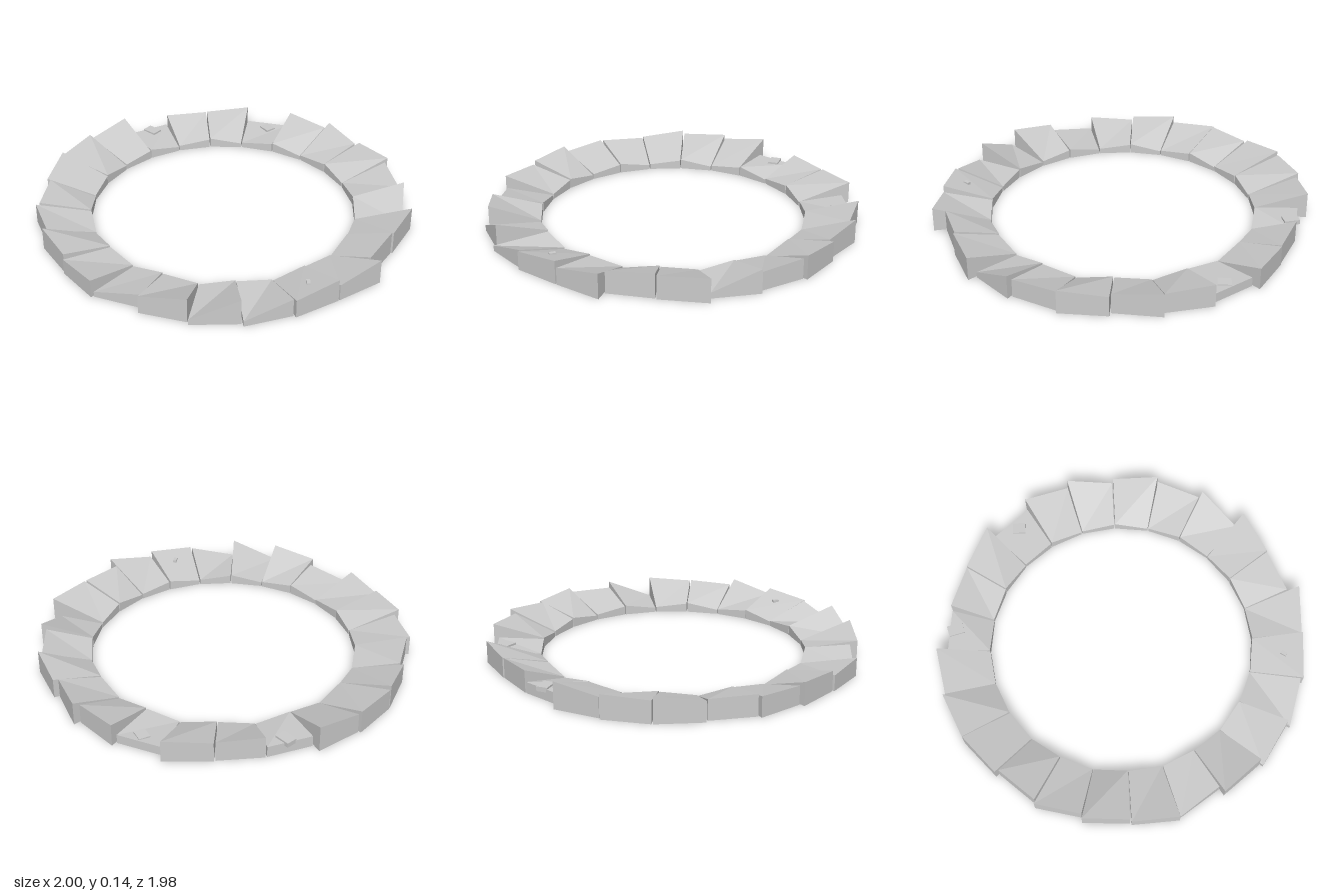
import * as THREE from 'three';

const STEP = Math.PI / 12; // 24 stones
const GAP = 0.004;

// outer radius, then outer height, at the start and end of each stone
const STONES = [
  [0.99, 1.005, 0.125, 0.1], [0.99, 1.015, 0.1, 0.03], [0.995, 1.01, 0.14, 0.03], [0.99, 0.99, 0.135, 0.1],
  [0.95, 0.998, 0.08, 0.03], [1.01, 0.988, 0.1, 0.085], [0.98, 0.997, 0.11, 0.125], [0.97, 1.005, 0.1, 0.11],
  [0.985, 0.965, 0.115, 0.11], [0.985, 1, 0.11, 0.14], [1, 1.003, 0.12, 0.13], [0.99, 1, 0.11, 0.145],
  [0.95, 0.955, 0.06, 0.06], [0.957, 0.963, 0.12, 0.11], [0.968, 1.015, 0.11, 0.12], [0.97, 0.98, 0.05, 0.05],
  [1.01, 0.98, 0.125, 0.11], [1.015, 0.963, 0.13, 0.11], [0.99, 1.013, 0.11, 0.13], [0.993, 0.983, 0.11, 0.1],
  [1.01, 0.98, 0.13, 0.03], [1.027, 0.973, 0.13, 0.125], [0.965, 0.963, 0.13, 0.12], [1.03, 0.99, 0.135, 0.09],
];

// Irregular wedge: corners run inner start, outer start, outer end, inner end
function wedge(a, b, [r0, r1, h0, h1], inner, i0, i1) {
  const spots = [[a, inner, i0], [a, r0, h0], [b, r1, h1], [b, inner, i1]];
  const pos = [];
  for (const top of [0, 1])
    for (const [t, r, h] of spots) pos.push(Math.cos(t) * r, top * h, Math.sin(t) * r);
  const quads = [[0, 1, 2, 3], [4, 7, 6, 5], [1, 5, 6, 2], [0, 3, 7, 4], [0, 4, 5, 1], [3, 2, 6, 7]];
  const geo = new THREE.BufferGeometry();
  geo.setAttribute('position', new THREE.Float32BufferAttribute(pos, 3));
  geo.setIndex(quads.flatMap(([p, q, r, s]) => [p, q, r, p, r, s]));
  const flat = geo.toNonIndexed();
  flat.computeVertexNormals();
  return flat;
}

export function createModel() {
  const group = new THREE.Group();
  const mat = new THREE.MeshStandardMaterial({ color: 0xcccccc, flatShading: true });

  // Ring of stones, sloping down toward the middle
  STONES.forEach((s, i) => {
    const tilt = i % 2 ? [0.03, 0.05] : [0.055, 0.025];
    const geo = wedge(i * STEP + GAP, (i + 1) * STEP - GAP, s, 0.72 + 0.01 * Math.sin(-i * STEP), ...tilt);
    const stone = new THREE.Mesh(geo, mat);
    stone.name = 'stone' + (i + 1);
    group.add(stone);
  });

  // Small chips showing through the lower stones
  const chips = [[-0.545, -0.735, 0.07, 0.06, 0, 0.045], [-0.905, -0.13, 0.085, 0.06, 0.26, 0.06], [0.88, 0.11, 0.035, 0.02, -0.6, 0.09]];
  chips.forEach(([x, z, w, d, turn, y], i) => {
    const chip = new THREE.Mesh(new THREE.BoxGeometry(w, 0.025, d), mat);
    chip.position.set(x, y - 0.004, z);
    chip.rotation.y = turn;
    chip.name = 'chip' + (i + 1);
    group.add(chip);
  });
  return group;
}
